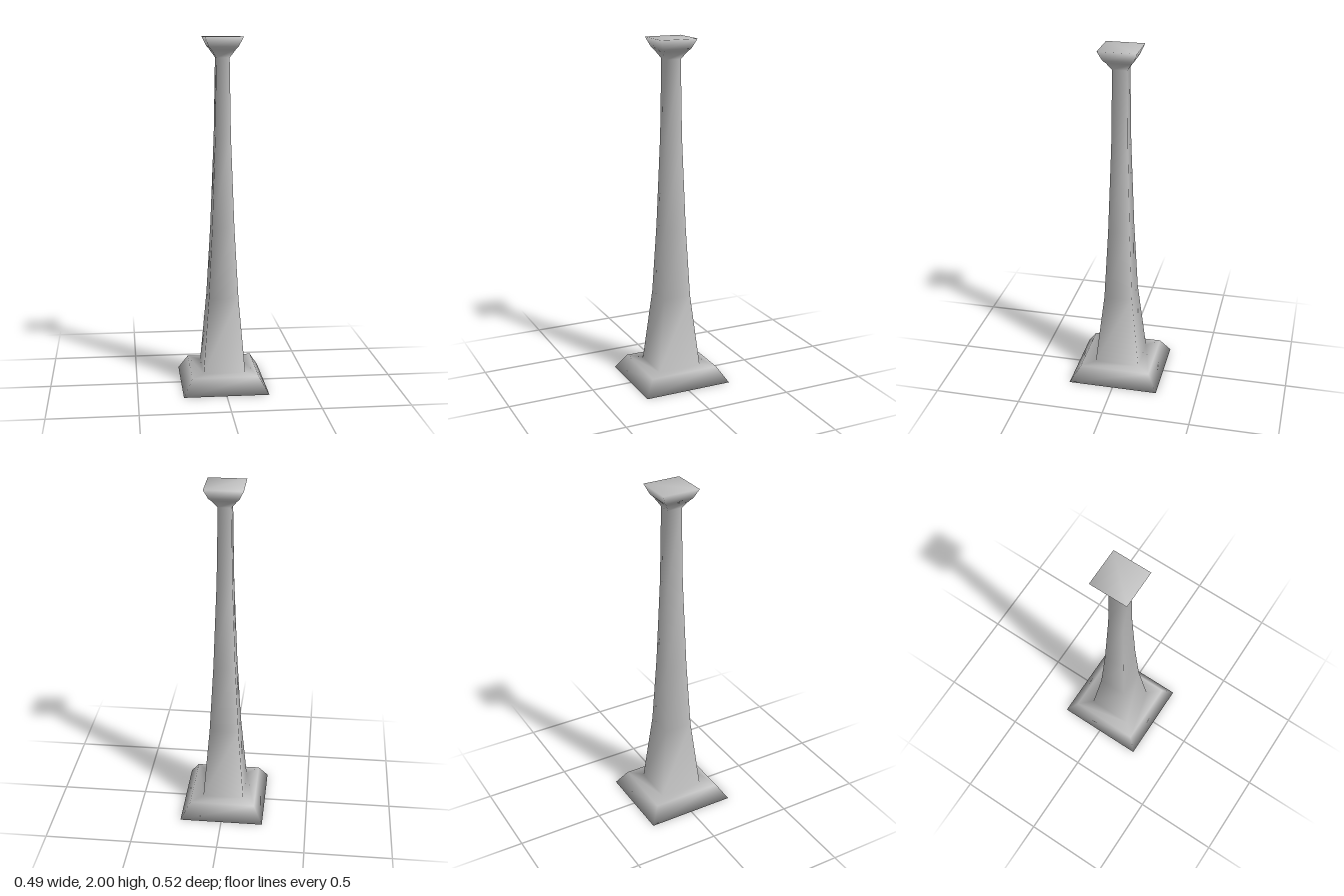
import * as THREE from 'three';

// Rectangular cross-sections from bottom to top: [y, half width x, half depth z]
const RINGS = [
  [0, 0.243, 0.262],
  [0.09, 0.19, 0.205],
  [0.09, 0.12, 0.13],
  [0.52, 0.085, 0.082],
  [0.93, 0.063, 0.063],
  [1.45, 0.044, 0.047],
  [1.885, 0.037, 0.042],
  [1.93, 0.068, 0.07],
  [1.945, 0.082, 0.084],
  [2, 0.107, 0.109],
];

// Corner signs, counterclockwise from above
const CORNERS = [[1, 1], [1, -1], [-1, -1], [-1, 1]];

// Side walls joining rings first..last
function walls(first, last) {
  const index = [];
  for (let r = first; r < last; r++) {
    for (let i = 0; i < 4; i++) {
      const a = r * 4 + i, b = r * 4 + (i + 1) % 4;
      index.push(a, b, b + 4, a, b + 4, a + 4);
    }
  }
  return index;
}

export function createModel() {
  const stone = new THREE.MeshStandardMaterial({ color: 0xc0c0c0 });
  stone.name = 'grey stone';

  const top = (RINGS.length - 1) * 4;
  const parts = {
    base: [0, 3, 1, 1, 3, 2, ...walls(0, 2)],
    shaft: walls(2, 6),
    capital: [...walls(6, 9), top, top + 1, top + 3, top + 1, top + 2, top + 3],
  };

  // Whole surface, so that shading flows smoothly from part to part
  const positions = RINGS.flatMap(([y, w, d]) => CORNERS.flatMap(([sx, sz]) => [sx * w, y, sz * d]));
  const whole = new THREE.BufferGeometry();
  whole.setAttribute('position', new THREE.Float32BufferAttribute(positions, 3));
  whole.setIndex(Object.values(parts).flat());
  whole.computeVertexNormals();

  // One mesh per part, keeping the shared normals
  const group = new THREE.Group();
  group.name = 'column';
  for (const [name, index] of Object.entries(parts)) {
    whole.setIndex(index);
    const mesh = new THREE.Mesh(whole.toNonIndexed(), stone);
    mesh.name = name;
    group.add(mesh);
  }
  return group;
}
